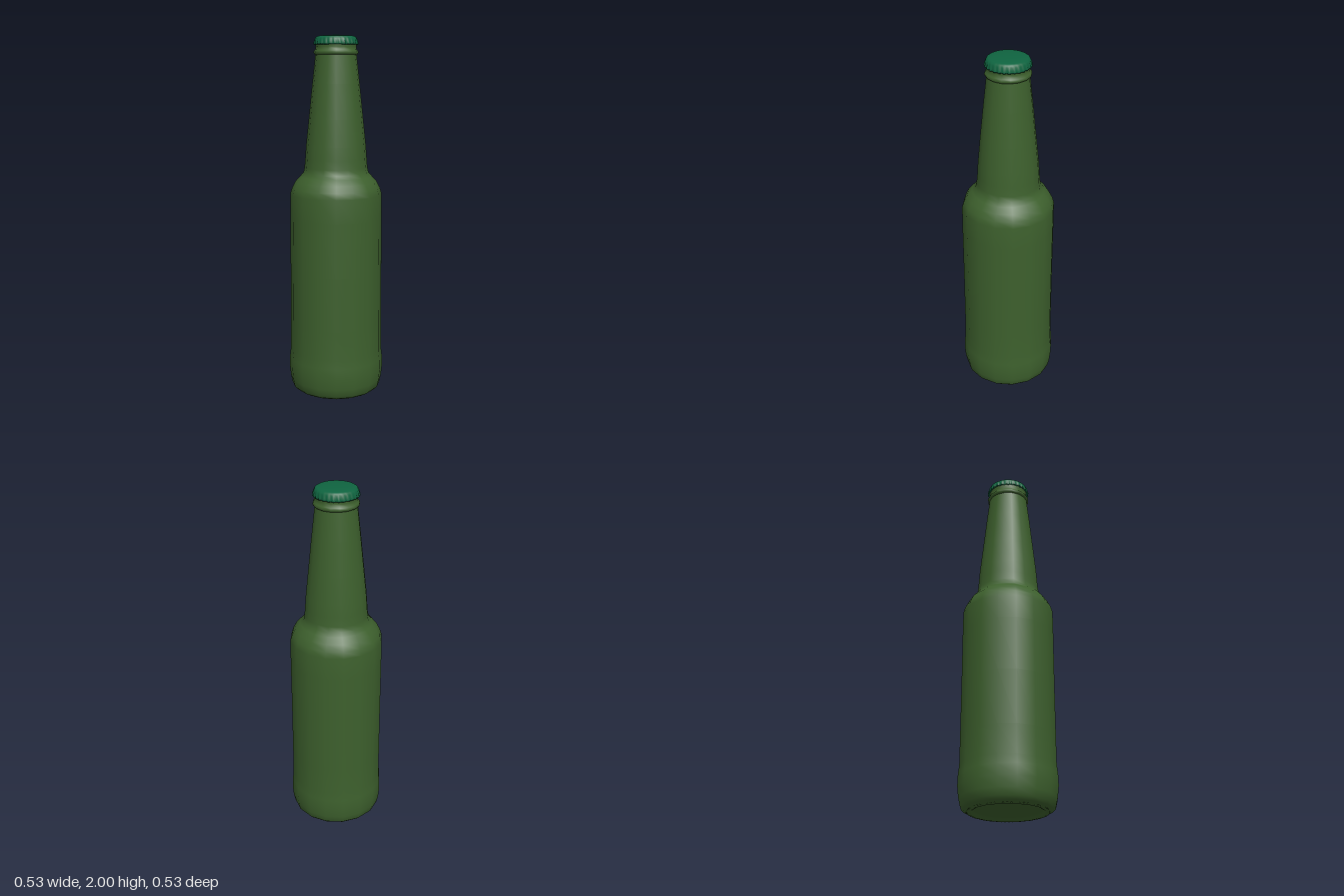
import * as THREE from 'three';

const SIDES = 16;
const TEETH = 28;

function lathe(name, profile, segments, material) {
  const points = profile.map(([r, y]) => new THREE.Vector2(r, y));
  const mesh = new THREE.Mesh(new THREE.LatheGeometry(points, segments), material);
  mesh.name = name;
  return mesh;
}

export function createModel() {
  const bottle = new THREE.Group();
  bottle.name = 'bottle';
  const glass = new THREE.MeshStandardMaterial({ color: 0x3d602d });
  const metal = new THREE.MeshStandardMaterial({ color: 0x0f6440 });

  // Body, shoulder and tapering neck in one smooth low-poly turn
  const body = lathe('glassBody', [
    [0.2, 0.01], [0.235, 0.013], [0.252, 0.03], [0.261, 0.07], [0.267, 0.13],
    [0.265, 0.19], [0.259, 0.24], [0.258, 0.4], [0.257, 0.7], [0.257, 1.0],
    [0.256, 1.13], [0.245, 1.165], [0.227, 1.2], [0.2, 1.23], [0.181, 1.25],
    [0.175, 1.28], [0.171, 1.33], [0.166, 1.4], [0.15, 1.55], [0.13, 1.74], [0.112, 1.9],
  ], SIDES, glass);

  // Shallow thumb-shaped dent low on the front of the neck
  const p = body.geometry.attributes.position;
  for (let i = 0; i < p.count; i++) {
    const x = p.getX(i), y = p.getY(i), z = p.getZ(i);
    if (z > 0 && y > 1.25 && y < 1.5) {
      const fade = Math.max(0, 1 - Math.abs(x) / 0.13) * (1 - Math.abs(y - 1.35) / 0.15);
      p.setZ(i, z - 0.007 * Math.max(0, fade));
    }
  }
  bottle.add(body);

  // Recessed underside with a narrow standing rim
  bottle.add(lathe('baseRecess', [
    [0, 0.035], [0.12, 0.03], [0.18, 0.018], [0.19, 0.004], [0.2, 0], [0.215, 0.002], [0.235, 0.013],
  ], SIDES, glass));

  // Knurled bumps around the standing rim
  const bumps = new THREE.InstancedMesh(new THREE.SphereGeometry(0.006, 6, 4), glass, 64);
  bumps.name = 'baseKnurling';
  const m = new THREE.Matrix4();
  for (let i = 0; i < 64; i++) {
    const a = (i / 64) * Math.PI * 2;
    bumps.setMatrixAt(i, m.makeTranslation(Math.sin(a) * 0.213, 0.007, Math.cos(a) * 0.213));
  }
  bottle.add(bumps);

  // Collar ring and lip under the cap
  bottle.add(lathe('neckCollar', [
    [0.11, 1.892], [0.119, 1.898], [0.123, 1.907], [0.119, 1.917],
    [0.112, 1.924], [0.11, 1.938], [0.112, 1.95], [0.108, 1.975],
  ], SIDES, glass));

  // Crown cap: domed top, skirt flaring into crimped teeth
  const cap = lathe('crownCap', [
    [0.106, 1.953], [0.118, 1.948], [0.12, 1.954], [0.118, 1.965], [0.115, 1.978],
    [0.11, 1.988], [0.1, 1.994], [0.07, 1.998], [0.035, 2], [0, 2],
  ], TEETH * 4, metal);
  const c = cap.geometry.attributes.position;
  for (let i = 0; i < c.count; i++) {
    const x = c.getX(i), y = c.getY(i), z = c.getZ(i);
    const depth = 0.032 * THREE.MathUtils.clamp((1.986 - y) / 0.03, 0, 1);
    const k = 1 + depth * Math.cos(TEETH * Math.atan2(x, z));
    c.setXYZ(i, x * k, y, z * k);
  }
  cap.geometry.computeVertexNormals();
  bottle.add(cap);

  return bottle;
}
